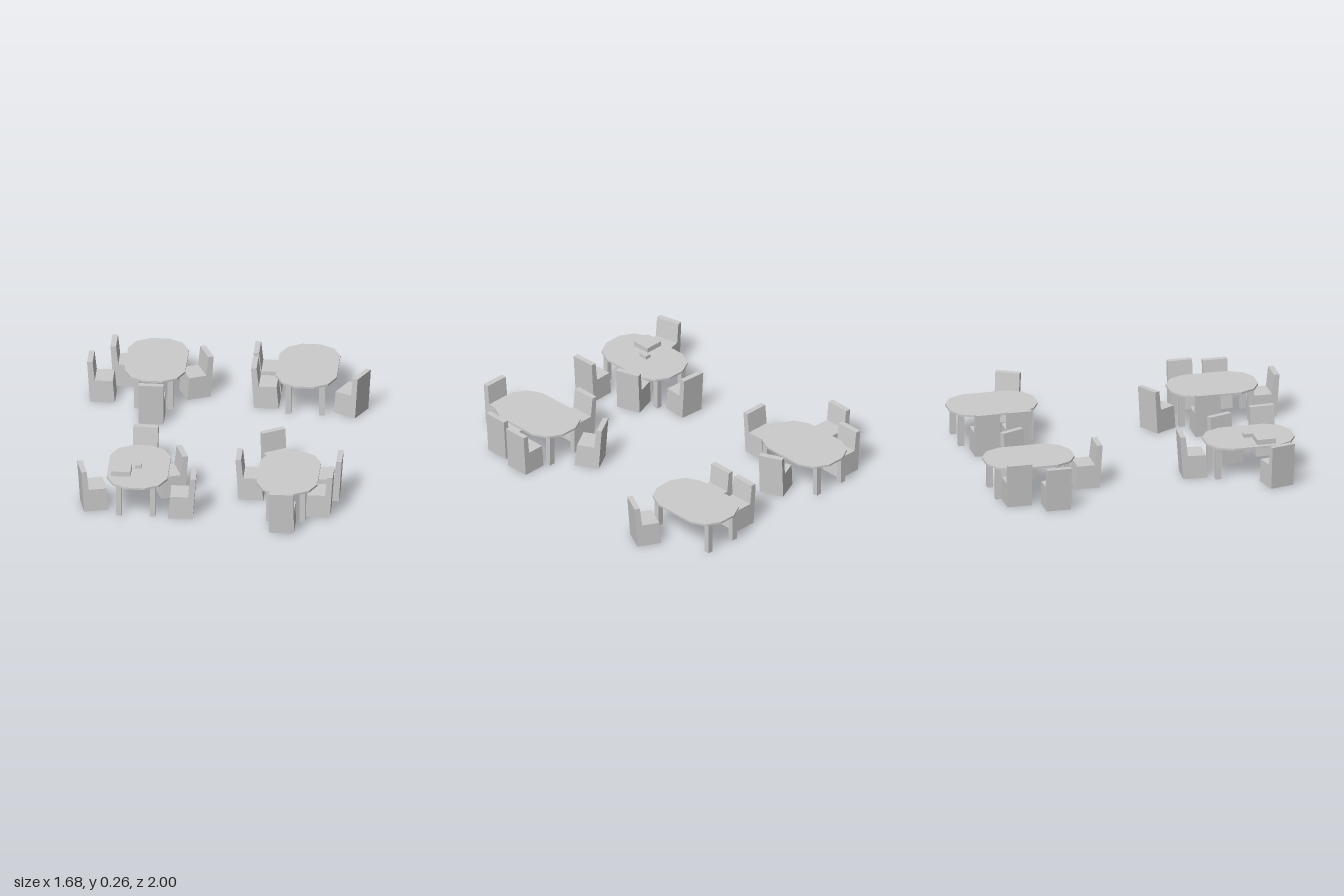
import * as THREE from 'three';

const material = new THREE.MeshStandardMaterial({ color: 0xcccccc, flatShading: true });

function addMesh(parent, geometry, name, x = 0, y = 0, z = 0) {
  const mesh = new THREE.Mesh(geometry, material);
  mesh.name = name;
  mesh.position.set(x, y, z);
  parent.add(mesh);
  return mesh;
}

const shapeOf = (points) => new THREE.Shape(points.map(([x, y]) => new THREE.Vector2(x, y)));

// Twelve-sided elongated table top, mirrored from one quarter
function tableTopGeometry() {
  const quarter = [[0.18, 0.135], [0.137, 0.223], [0.054, 0.268]];
  const half = [...quarter, ...quarter.slice().reverse().map(([x, z]) => [-x, z])];
  const outline = [...half, ...half.map(([x, z]) => [-x, -z])];
  const geometry = new THREE.ExtrudeGeometry(shapeOf(outline), { depth: 0.012, bevelEnabled: false });
  return geometry.rotateX(-Math.PI / 2);
}

// Solid covered chair: side profile starts at the back and faces +x
function chairGeometry() {
  const width = 0.148;
  const profile = [[0.018, 0], [0.165, 0], [0.152, 0.143], [0.046, 0.143], [0.033, 0.264], [0, 0.264]];
  const geometry = new THREE.ExtrudeGeometry(shapeOf(profile), { depth: width, bevelEnabled: false });
  return geometry.translate(0, 0, -width / 2);
}

// Each table: centre, then chairs as back-middle x, z and facing direction x, z
const settings = [
  { x: -0.443, z: -0.732, chairs: [
    [-0.72, -0.849, 1, 0], [-0.842, -0.64, 1, 0],
    [-0.132, -0.765, -0.915, 0.403], [-0.443, -0.297, 0, -1]] },
  { x: 0.454, z: -0.732, chairs: [
    [0.129, -0.833, 1, 0], [0.129, -0.64, 1, 0], [0.802, -0.54, -0.888, -0.46]] },
  { x: -0.441, z: 0.608, chairs: [
    [-0.43, 0.183, -0.07, 0.998], [-0.177, 0.487, -0.945, 0.327],
    [-0.087, 0.77, -1, 0.03], [-0.784, 0.738, 0.97, -0.24]] },
  { x: 0.447, z: 0.608, chairs: [
    [0.311, 0.177, 0.5, 0.866], [0.129, 0.508, 1, 0], [0.757, 0.483, -1, 0],
    [0.72, 0.688, -1, 0], [0.433, 0.998, 0, -1]] },
];

export function createModel() {
  const model = new THREE.Group();
  model.name = 'diningArea';
  const top = tableTopGeometry();
  const leg = new THREE.BoxGeometry(0.034, 0.198, 0.034);
  const chair = chairGeometry();

  for (const { x, z, chairs } of settings) {
    // Table with four legs
    const table = new THREE.Group();
    table.name = 'table';
    table.position.set(x, 0, z);
    addMesh(table, top, 'tableTop', 0, 0.197, 0);
    for (const sx of [-1, 1]) {
      for (const sz of [-1, 1]) addMesh(table, leg, 'tableLeg', sx * 0.1, 0.099, sz * 0.21);
    }
    model.add(table);

    // Chairs around it
    for (const [cx, cz, fx, fz] of chairs) {
      addMesh(model, chair, 'chair', cx, 0, cz).rotation.y = Math.atan2(-fz, fx);
    }
  }

  // Items lying on one table
  addMesh(model, new THREE.BoxGeometry(0.114, 0.031, 0.114), 'largeBox', -0.537, 0.2245, 0.682);
  addMesh(model, new THREE.BoxGeometry(0.037, 0.022, 0.056), 'smallBox', -0.442, 0.22, 0.606);
  return model;
}
